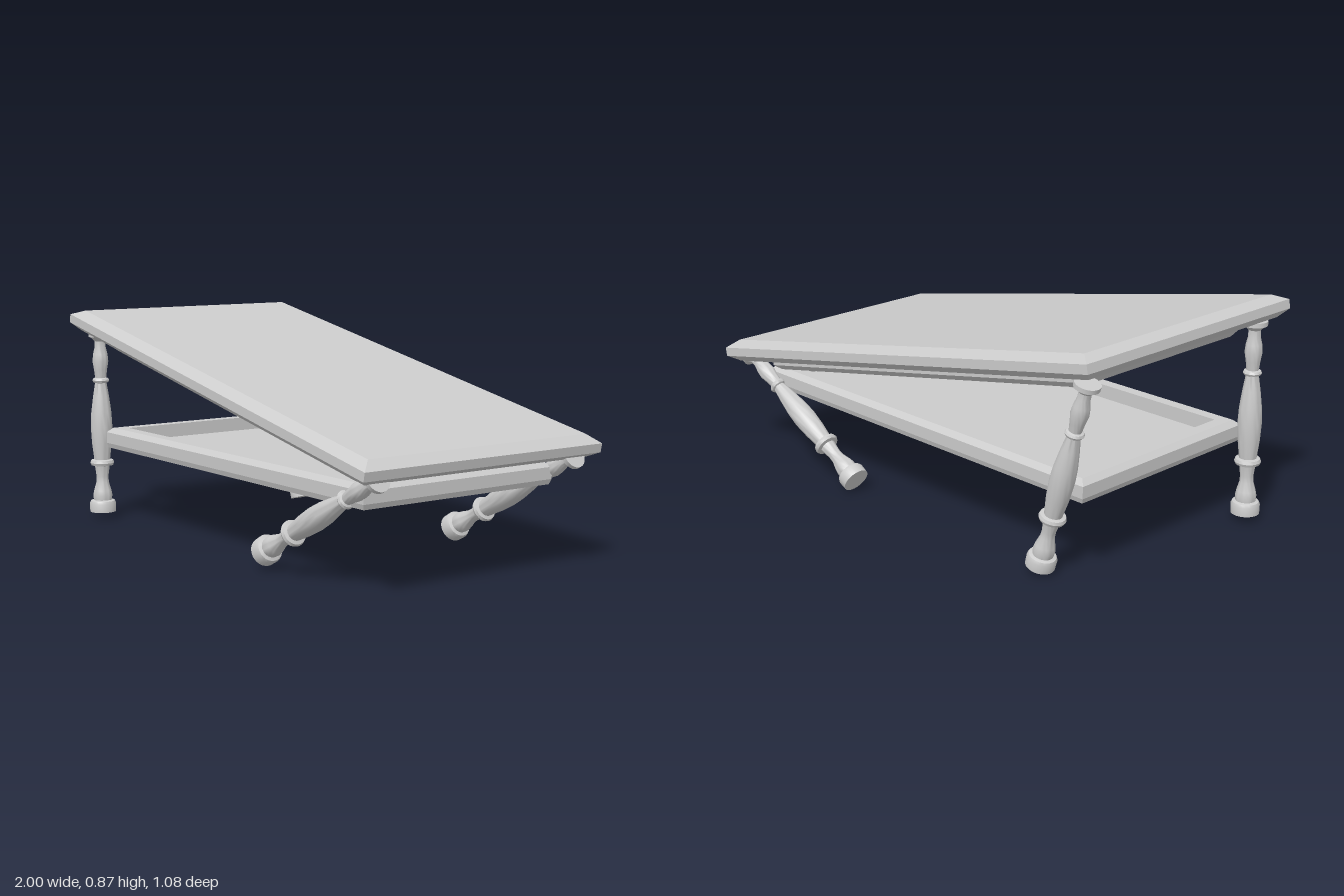
import * as THREE from 'three';
import { toCreasedNormals } from 'three/addons/utils/BufferGeometryUtils.js';

const material = new THREE.MeshStandardMaterial({ color: 0xcccccc });

// Stack of rectangles [halfX, halfZ, y], joined by sloping walls, optionally capped
function rectLoft(levels, capped) {
  const pos = [];
  const signs = [[1, 1], [1, -1], [-1, -1], [-1, 1]];
  const corner = ([hx, hz, y], i) => [signs[i % 4][0] * hx, y, signs[i % 4][1] * hz];
  const quad = (a, b, c, d) => pos.push(...a, ...b, ...c, ...a, ...c, ...d);
  for (let l = 0; l < levels.length - 1; l++) {
    for (let i = 0; i < 4; i++) {
      quad(corner(levels[l], i), corner(levels[l], i + 1),
        corner(levels[l + 1], i + 1), corner(levels[l + 1], i));
    }
  }
  if (capped) {
    const lo = levels[0], hi = levels[levels.length - 1];
    quad(corner(lo, 3), corner(lo, 2), corner(lo, 1), corner(lo, 0));
    quad(corner(hi, 0), corner(hi, 1), corner(hi, 2), corner(hi, 3));
  }
  const geo = new THREE.BufferGeometry();
  geo.setAttribute('position', new THREE.Float32BufferAttribute(pos, 3));
  geo.computeVertexNormals();
  return geo;
}

function addMesh(parent, name, geometry) {
  const mesh = new THREE.Mesh(geometry, material);
  mesh.name = name;
  parent.add(mesh);
  return mesh;
}

// Turned leg standing on its base, [radius, height]
function legGeometry() {
  const profile = [
    [0, 0], [0.054, 0], [0.055, 0.035], [0.05, 0.046], [0.038, 0.05], [0.04, 0.07],
    [0.036, 0.09], [0.026, 0.125], [0.025, 0.15], [0.031, 0.195],
    [0.046, 0.198], [0.05, 0.208], [0.046, 0.219], [0.033, 0.222],
    [0.041, 0.29], [0.045, 0.36], [0.042, 0.42], [0.033, 0.49], [0.024, 0.545],
    [0.031, 0.548], [0.035, 0.556], [0.031, 0.564], [0.023, 0.567],
    [0.027, 0.60], [0.033, 0.635], [0.03, 0.665], [0.023, 0.695], [0.023, 0.72],
    [0.036, 0.733], [0.047, 0.738], [0.047, 0.755], [0, 0.755],
  ].map(([r, y]) => new THREE.Vector2(r, y));
  return toCreasedNormals(new THREE.LatheGeometry(profile, 28), 0.65);
}

export function createModel() {
  const model = new THREE.Group();
  model.name = 'collapsedTable';

  // Tilted top with bevelled edges and a frame below it
  const top = new THREE.Group();
  top.name = 'tableTop';
  top.position.set(0.0035, 0.6615, 0);
  top.rotation.z = -0.198;
  model.add(top);
  addMesh(top, 'topSlab', rectLoft([
    [0.978, 0.505, -0.061], [1.016, 0.542, -0.034], [1.016, 0.542, 0], [0.97, 0.498, 0.0255],
  ], true));
  addMesh(top, 'topApron', rectLoft([
    [0.79, 0.36, -0.061], [0.79, 0.36, -0.114], [0.838, 0.408, -0.114],
    [0.86, 0.43, -0.093], [0.86, 0.43, -0.061],
  ], false));

  // Shallow tray with a raised rim
  const tray = addMesh(model, 'tray', rectLoft([
    [0.866, 0.426, 0.306], [0.874, 0.433, 0.326], [0.874, 0.433, 0.371],
    [0.852, 0.411, 0.39], [0.805, 0.364, 0.39], [0.805, 0.364, 0.335],
  ], true));
  tray.position.set(-0.004, 0, 0.012);

  // Legs: base position and lean in degrees towards +x
  const leg = legGeometry();
  for (const [name, x, y, z, lean] of [
    ['rightFrontLeg', -0.918, 0.03, 0.446, 0],
    ['rightBackLeg', -0.7, 0.028, -0.44, -16],
    ['leftFrontLeg', 0.286, 0.065, 0.446, 61.5],
    ['leftBackLeg', 0.306, 0.051, -0.44, 60.5],
  ]) {
    const mesh = addMesh(model, name, leg);
    mesh.position.set(x, y, z);
    mesh.rotation.z = -THREE.MathUtils.degToRad(lean);
  }
  return model;
}
